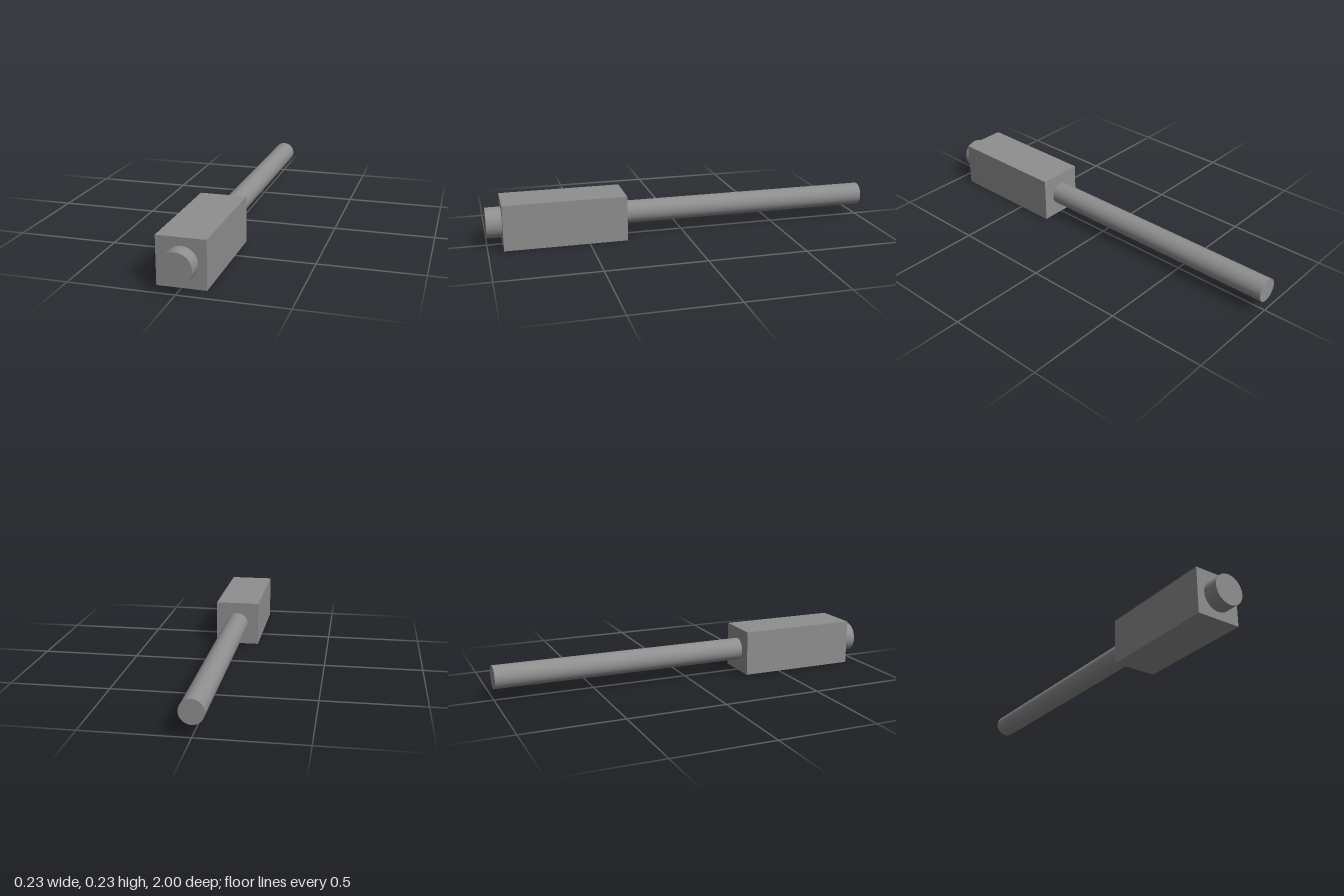
import * as THREE from 'three';

export function createModel() {
  const group = new THREE.Group();
  const material = new THREE.MeshStandardMaterial({ color: 0x8f8f8f });
  const u = 1 / 13; // base module: total length is 26 units
  const axisY = 1.5 * u;

  const add = (name, geometry, zBack, zFront) => {
    const mesh = new THREE.Mesh(geometry, material);
    mesh.name = name;
    mesh.position.set(0, axisY, (zBack + zFront) / 2);
    group.add(mesh);
  };

  // Round bar lying along z
  const addRod = (name, radius, zBack, zFront) =>
    add(name, new THREE.CylinderGeometry(radius, radius, zFront - zBack, 48).rotateX(Math.PI / 2), zBack, zFront);

  // Square body
  add('body', new THREE.BoxGeometry(3 * u, 3 * u, 8 * u), 4 * u, 12 * u);
  // Short round tip at the front
  addRod('frontTip', u, 12 * u, 13 * u);
  // Long rod at the back
  addRod('rearRod', 0.75 * u, -13 * u, 4 * u);

  return group;
}
